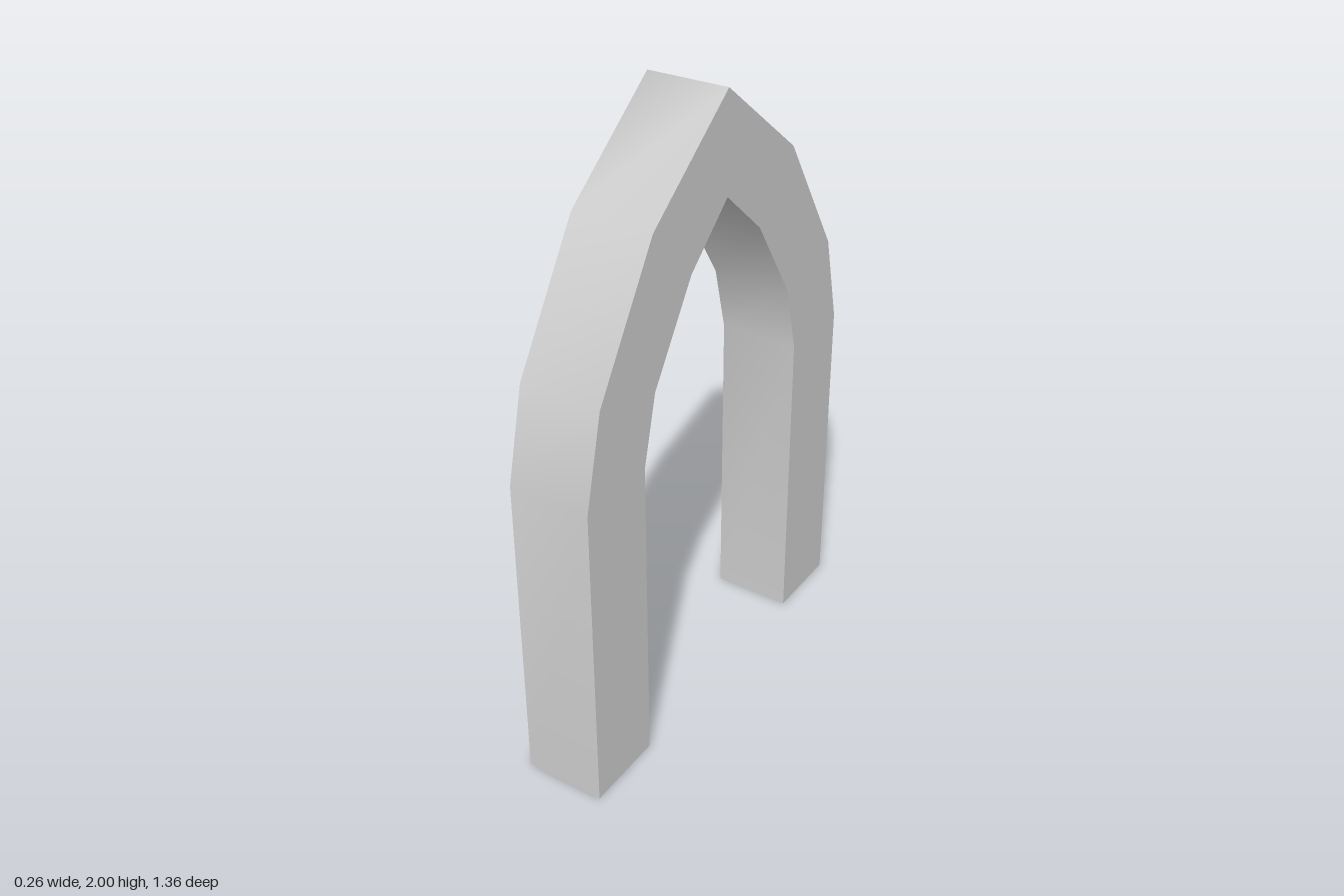
import * as THREE from 'three';
import { toCreasedNormals } from 'three/addons/utils/BufferGeometryUtils.js';

const WIDTH = 0.26;

// Half profiles [z, y], from the foot up to the point of the arch
const OUTER = [[0.68, 0], [0.68, 1.03], [0.61, 1.32], [0.36, 1.72], [0, 2]];
const INNER = [[0.415, 0], [0.415, 1.03], [0.36, 1.25], [0.18, 1.53], [0, 1.69]];

// Full line over the arch, mirrored about its point
function mirrored(half) {
  const other = half.slice(0, -1).reverse().map(([z, y]) => [-z, y]);
  return [...half, ...other].map(([z, y]) => new THREE.Vector2(z, y));
}

export function createModel() {
  const group = new THREE.Group();
  group.name = 'pointedArch';

  // Both legs and the pointed top are one continuous band
  const shape = new THREE.Shape([...mirrored(OUTER), ...mirrored(INNER).reverse()]);
  const band = new THREE.ExtrudeGeometry(shape, { depth: WIDTH, bevelEnabled: false });
  band.translate(0, 0, -WIDTH / 2);
  band.rotateY(-Math.PI / 2);

  // Smooth along the curve and over the point, sharp at the square corners
  const geometry = toCreasedNormals(band, THREE.MathUtils.degToRad(86));
  const arch = new THREE.Mesh(geometry, new THREE.MeshStandardMaterial({ color: 0xcccccc }));
  arch.name = 'archBand';
  group.add(arch);

  return group;
}
